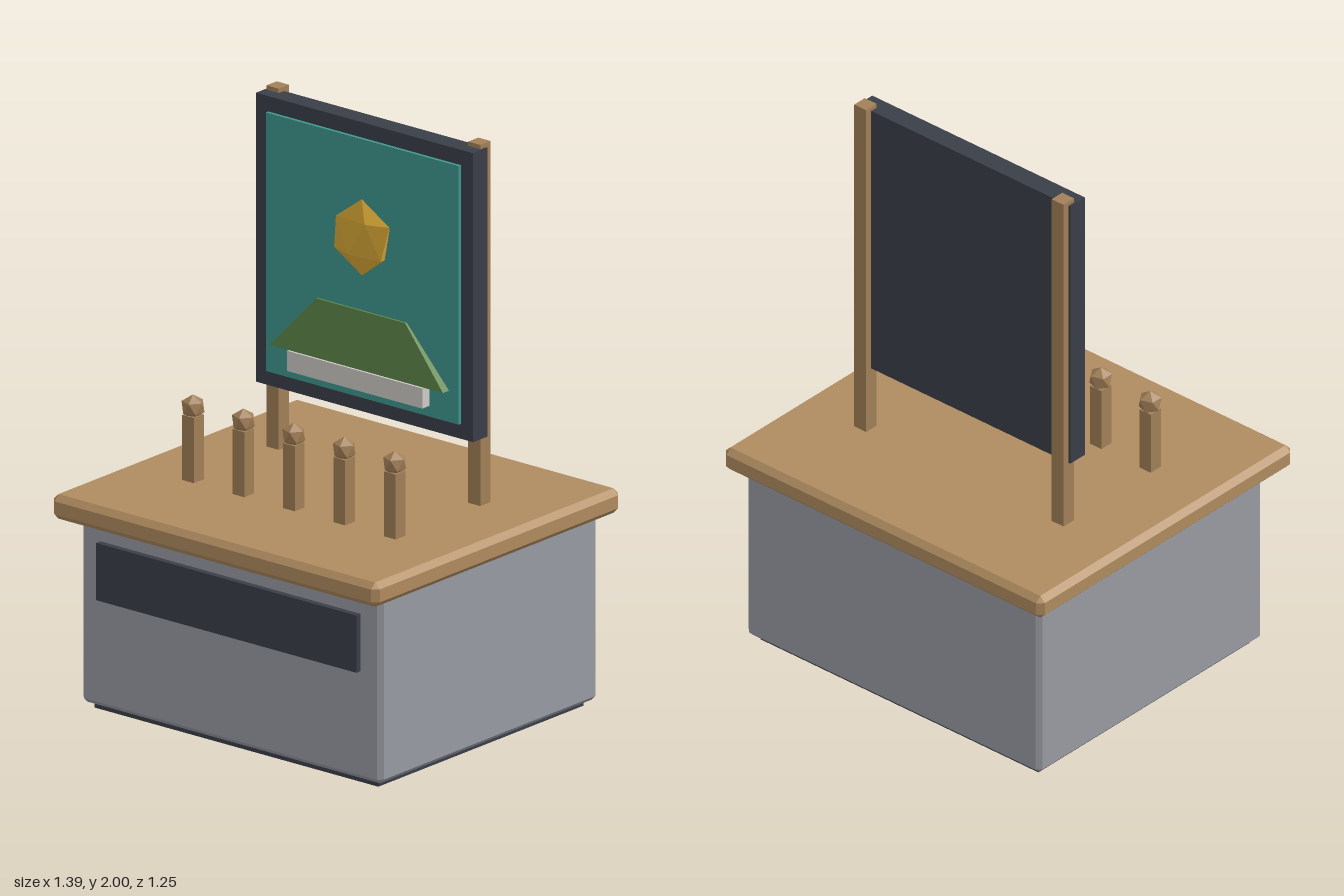
import * as THREE from 'three';
import { ConvexGeometry } from 'three/addons/geometries/ConvexGeometry.js';

const material = (name, color) => {
  const m = new THREE.MeshStandardMaterial({ color, flatShading: true });
  m.name = name;
  return m;
};

// Box with flat 45 degree chamfers on every edge
function chamferBox(w, h, d, c) {
  const points = [];
  for (const sx of [-1, 1]) for (const sy of [-1, 1]) for (const sz of [-1, 1]) {
    const x = w / 2, y = h / 2, z = d / 2;
    for (const [a, b, e] of [[x, y - c, z - c], [x - c, y, z - c], [x - c, y - c, z]]) {
      points.push(new THREE.Vector3(sx * a, sy * b, sz * e));
    }
  }
  return new ConvexGeometry(points);
}

// Icosahedron standing on one vertex
function icoOnPoint(radius) {
  return new THREE.IcosahedronGeometry(radius, 0).rotateZ(-Math.atan(2 / (1 + Math.sqrt(5))));
}

export function createModel() {
  const model = new THREE.Group();
  model.name = 'displayCounter';

  const counterWood = material('counter wood', 0xb08c60);
  const postWood = material('post wood', 0xa28058);
  const grey = material('cabinet grey', 0x999ba3);
  const dark = material('dark slate', 0x3a3e48);
  const teal = material('teal', 0x3f9990);
  const green = material('green', 0x5c8548);
  const white = material('off white', 0xd0ccc8);
  const gold = material('gold', 0xd9a836);

  const add = (name, geometry, mat, x, y, z) => {
    const mesh = new THREE.Mesh(geometry, mat);
    mesh.name = name;
    mesh.position.set(x, y, z);
    model.add(mesh);
    return mesh;
  };
  // Box given by its extents on each axis
  const box = (name, mat, [x0, x1], [y0, y1], [z0, z1], chamfer = 0) => {
    const size = [x1 - x0, y1 - y0, z1 - z0];
    const geometry = chamfer ? chamferBox(...size, chamfer) : new THREE.BoxGeometry(...size);
    return add(name, geometry, mat, (x0 + x1) / 2, (y0 + y1) / 2, (z0 + z1) / 2);
  };

  // Cabinet and counter
  box('plinth', dark, [-0.605, 0.605], [0, 0.06], [-0.535, 0.505]);
  box('cabinet', grey, [-0.64, 0.64], [0.02, 0.67], [-0.57, 0.535], 0.016);
  box('frontPanel', dark, [-0.555, 0.555], [0.397, 0.595], [0.52, 0.557]);
  box('countertop', counterWood, [-0.695, 0.695], [0.665, 0.75], [-0.625, 0.625], 0.02);

  // Sign board on two posts
  for (const x of [-0.43, 0.43]) {
    box(x < 0 ? 'rightPost' : 'leftPost', postWood, [x - 0.026, x + 0.026], [0.74, 2], [-0.242, -0.19]);
  }
  box('boardFrame', dark, [-0.463, 0.463], [0.985, 1.985], [-0.217, -0.145]);
  box('boardPanel', teal, [-0.411, 0.411], [1.037, 1.932], [-0.15, -0.133]);

  // Relief on the board: gem above a hipped roof and a low wall
  add('gem', icoOnPoint(0.132), gold, 0, 1.593, -0.131).scale.z = 0.26;
  const roof = new THREE.CylinderGeometry(0.19 * Math.SQRT2, 0.37 * Math.SQRT2, 0.195, 4)
    .rotateY(Math.PI / 4).scale(1, 1, 0.127);
  add('roof', roof, green, 0, 1.243, -0.149);
  box('wall', white, [-0.288, 0.288], [1.075, 1.145], [-0.14, -0.095]);

  // Row of pegs with faceted knobs
  for (let i = -2; i <= 2; i++) {
    const x = i * 0.215;
    box('peg', postWood, [x - 0.025, x + 0.025], [0.74, 0.975], [0.189, 0.239]);
    add('knob', icoOnPoint(0.042), postWood, x, 1.003, 0.214);
  }

  return model;
}
